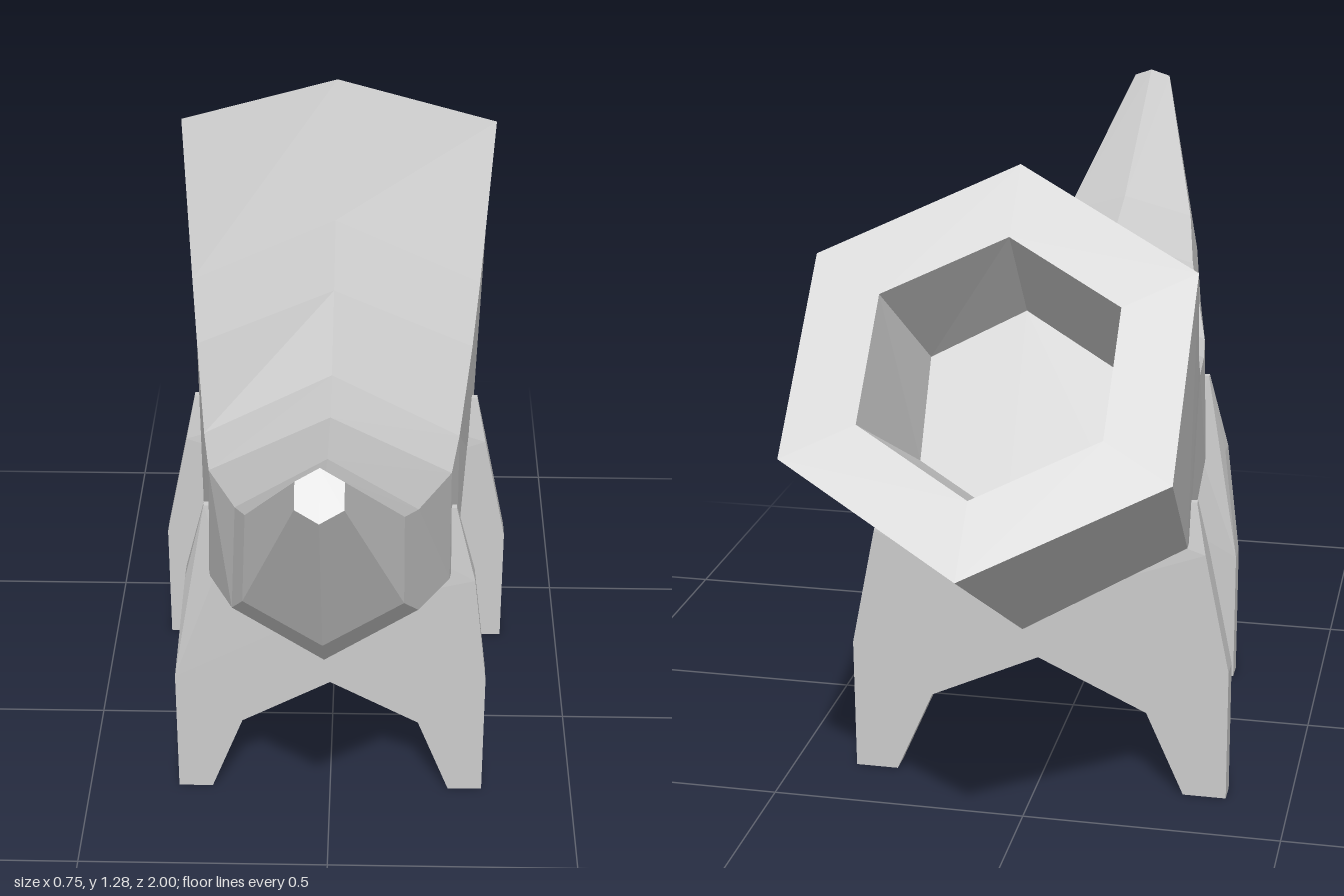
import * as THREE from 'three';

const material = new THREE.MeshStandardMaterial({ color: 0xcccccc, flatShading: true });

// Six-sided ring given by its top point, bottom point (z, y) and half width
function hexRing([topZ, topY, botZ, botY, halfWidth]) {
  const cz = (topZ + botZ) / 2, cy = (topY + botY) / 2;
  return Array.from({ length: 6 }, (_, i) => {
    const a = i * Math.PI / 3, c = Math.cos(a);
    return new THREE.Vector3(
      Math.sin(a) / Math.sin(Math.PI / 3) * halfWidth,
      cy + (topY - botY) / 2 * c,
      cz + (topZ - botZ) / 2 * c
    );
  });
}

// Faceted skin through a list of rings, with optional end caps
function loft(name, rings, { capStart = false, capEnd = false }) {
  const points = [];
  for (let k = 0; k < rings.length - 1; k++) {
    for (let j = 0; j < 6; j++) {
      const n = (j + 1) % 6;
      const a = rings[k][j], b = rings[k][n], c = rings[k + 1][n], d = rings[k + 1][j];
      points.push(a, b, c, a, c, d);
    }
  }
  const first = rings[0], last = rings[rings.length - 1];
  for (let j = 1; j < 5; j++) {
    if (capStart) points.push(first[0], first[j + 1], first[j]);
    if (capEnd) points.push(last[0], last[j], last[j + 1]);
  }
  const geometry = new THREE.BufferGeometry().setFromPoints(points);
  geometry.computeVertexNormals();
  const mesh = new THREE.Mesh(geometry, material);
  mesh.name = name;
  return mesh;
}

// Shrink a ring about its centre
function inset(ring, factor) {
  const centre = ring.reduce((s, p) => s.add(p), new THREE.Vector3()).divideScalar(6);
  return ring.map(p => p.clone().lerp(centre, 1 - factor));
}

// Upright plate mirrored from its right half outline, prongs thinned towards the tip
function stand(name, half, z) {
  const outline = [
    ...half.map(([x, y]) => new THREE.Vector2(x, y)),
    ...half.slice(1, -1).reverse().map(([x, y]) => new THREE.Vector2(-x, y)),
  ];
  const depth = 0.045;
  const geometry = new THREE.ExtrudeGeometry(new THREE.Shape(outline), { depth, bevelEnabled: false });
  geometry.translate(0, 0, -depth / 2);
  const tipY = Math.max(...half.map(p => p[1]));
  const pos = geometry.attributes.position;
  for (let i = 0; i < pos.count; i++) {
    const t = Math.max(0, (pos.getY(i) - 0.51) / (tipY - 0.51));
    pos.setZ(i, pos.getZ(i) * (1 - 0.7 * t));
  }
  geometry.computeVertexNormals();
  const mesh = new THREE.Mesh(geometry, material);
  mesh.name = name;
  mesh.position.z = z;
  return mesh;
}

export function createModel() {
  const model = new THREE.Group();
  model.name = 'hornOnStands';

  // Curved horn from tip to mouth: top z, top y, bottom z, bottom y, half width
  const rings = [
    [0.935, 1.19, 1.0, 1.125, 0.04],
    [0.59, 0.97, 0.815, 0.76, 0.14],
    [0.44, 0.91, 0.71, 0.655, 0.167],
    [0.21, 0.865, 0.30, 0.435, 0.235],
    [0.07, 0.88, 0.17, 0.40, 0.253],
    [-0.13, 0.965, -0.33, 0.36, 0.285],
    [-0.27, 1.055, -0.49, 0.39, 0.303],
    [-0.475, 1.28, -1.0, 0.695, 0.34],
  ].map(hexRing);
  const mouth = rings[7];
  const lip = inset(mouth, 0.63);
  const floor = inset(mouth.map((p, i) => p.clone().lerp(rings[6][i], 0.6)), 0.535);
  model.add(loft('horn', rings, { capStart: true }));
  model.add(loft('mouthRim', [mouth, lip], {}));
  model.add(loft('mouthCavity', [lip, floor], { capEnd: true }));

  // Two forked stands, half outlines from the arch round to the cradle
  model.add(stand('frontStand', [
    [0, 0.27], [0.18, 0.17], [0.245, 0], [0.315, 0], [0.315, 0.28],
    [0.287, 0.52], [0.247, 0.68], [0.235, 0.68], [0.215, 0.56], [0, 0.45],
  ], 0.23));
  model.add(stand('backStand', [
    [0, 0.27], [0.215, 0.17], [0.29, 0], [0.375, 0], [0.375, 0.27],
    [0.326, 0.51], [0.306, 0.61], [0.285, 0.61], [0.26, 0.53], [0, 0.39],
  ], -0.33));

  return model;
}
